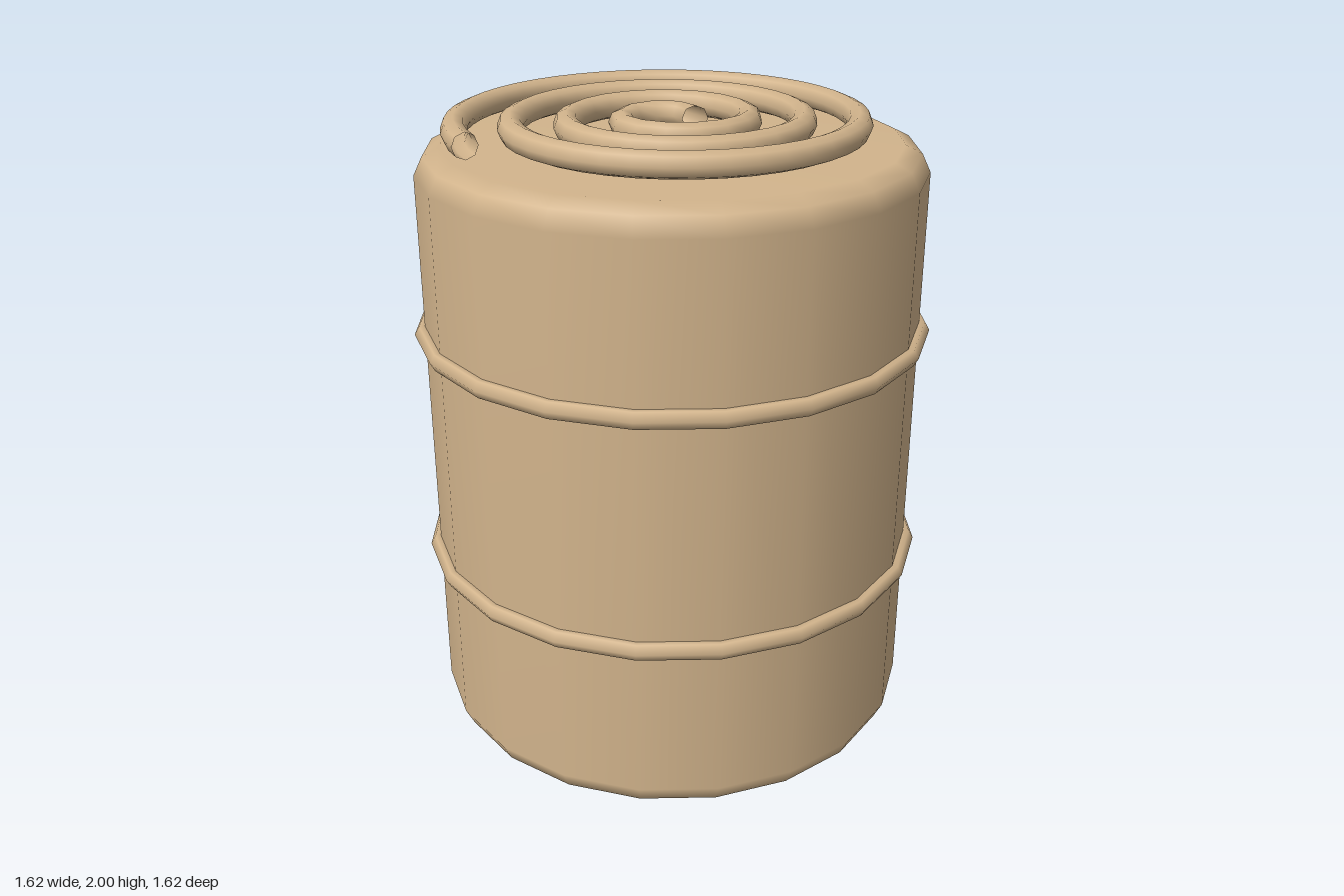
import * as THREE from 'three';

const tan = new THREE.MeshStandardMaterial({ color: 0xd2b48c, side: THREE.DoubleSide });
tan.name = 'tan';

function add(group, name, geometry, y = 0) {
  const mesh = new THREE.Mesh(geometry, tan);
  mesh.name = name;
  mesh.position.y = y;
  group.add(mesh);
}

// Flat spiral winding outwards from the +x side
class Spiral extends THREE.Curve {
  getPoint(t, target = new THREE.Vector3()) {
    const angle = t * 3.5 * Math.PI * 2;
    const radius = 0.08 + 0.58 * t;
    return target.set(radius * Math.cos(angle), 0, -radius * Math.sin(angle));
  }
}

export function createModel() {
  const model = new THREE.Group();
  model.name = 'barrel';

  // Rounded drum body, closed at both ends
  const profile = [
    [0, 0], [0.7, 0], [0.75, 0.025], [0.777, 0.08],
    [0.777, 1.83], [0.75, 1.885], [0.7, 1.91], [0, 1.91],
  ].map(([x, y]) => new THREE.Vector2(x, y));
  add(model, 'body', new THREE.LatheGeometry(profile, 20));

  // Two hoops around the body
  for (const [name, y] of [['lowerHoop', 0.59], ['upperHoop', 1.33]]) {
    add(model, name, new THREE.TorusGeometry(0.78, 0.03, 6, 20).rotateX(Math.PI / 2), y);
  }

  // Open-ended coil lying on the lid
  const curve = new Spiral();
  curve.arcLengthDivisions = 400;
  add(model, 'coil', new THREE.TubeGeometry(curve, 100, 0.04, 8, false), 1.96);

  return model;
}
